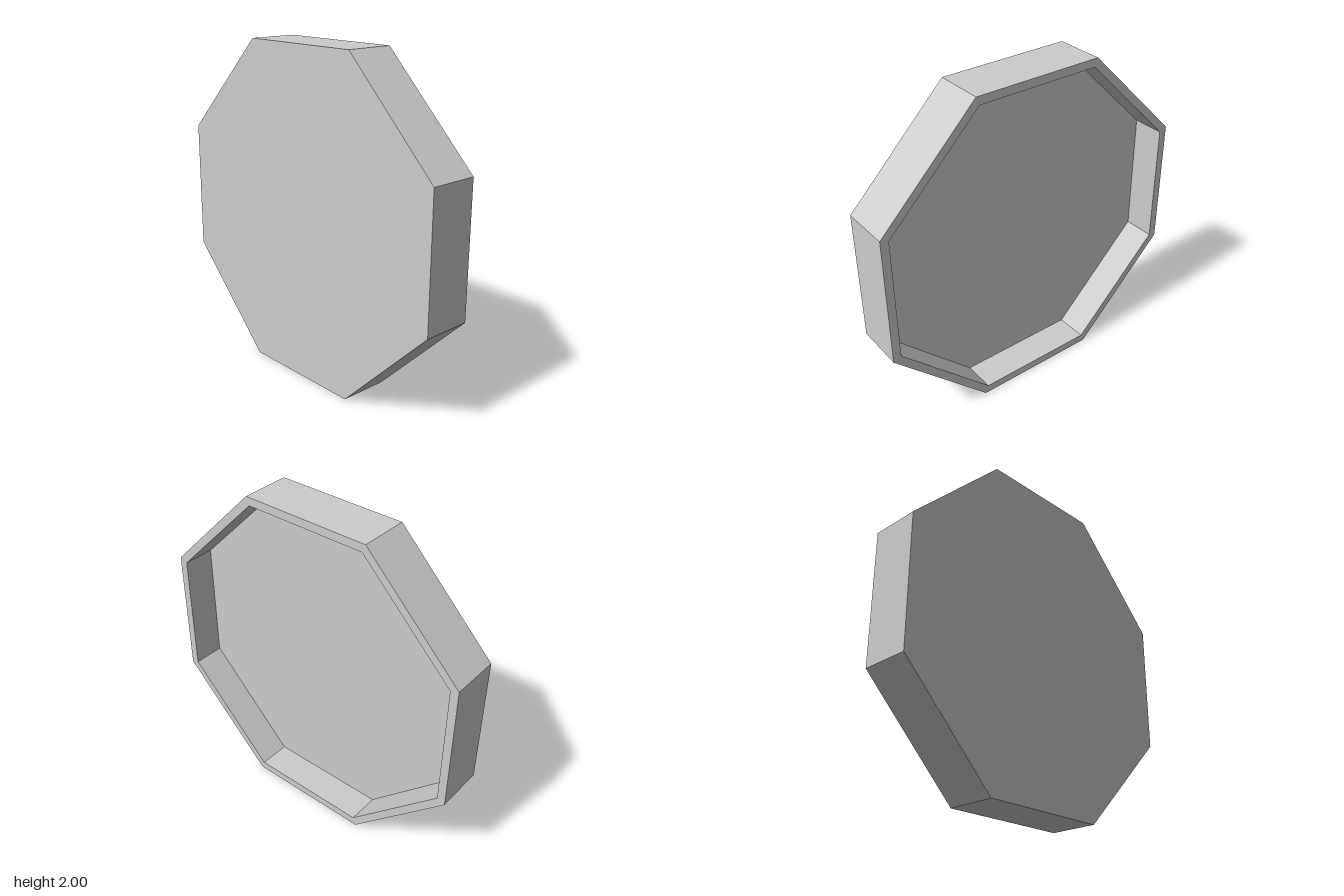
import * as THREE from 'three';

// Octagon outline centred on the origin, scaled by s
function octagon(PathType, s) {
  const corners = [
    [1, -0.4], [1, 0.4], [0.4, 1], [-0.4, 1],
    [-1, 0.4], [-1, -0.4], [-0.4, -1], [0.4, -1],
  ];
  return new PathType(corners.map(([x, y]) => new THREE.Vector2(x * s, y * s)));
}

function addSlab(group, name, shape, z, depth, material) {
  const geometry = new THREE.ExtrudeGeometry(shape, { depth, bevelEnabled: false });
  geometry.translate(0, 1, z);
  const mesh = new THREE.Mesh(geometry, material);
  mesh.name = name;
  group.add(mesh);
}

export function createModel() {
  const group = new THREE.Group();
  group.name = 'octagonalPanel';
  const material = new THREE.MeshStandardMaterial({ color: 0xcccccc, flatShading: true });

  // Solid front plate
  addSlab(group, 'frontPlate', octagon(THREE.Shape, 1), 0.05, 0.1, material);

  // Thin wall behind the plate, open at the back
  const rim = octagon(THREE.Shape, 1);
  rim.holes.push(octagon(THREE.Path, 0.95));
  addSlab(group, 'backRim', rim, -0.15, 0.2, material);

  return group;
}
